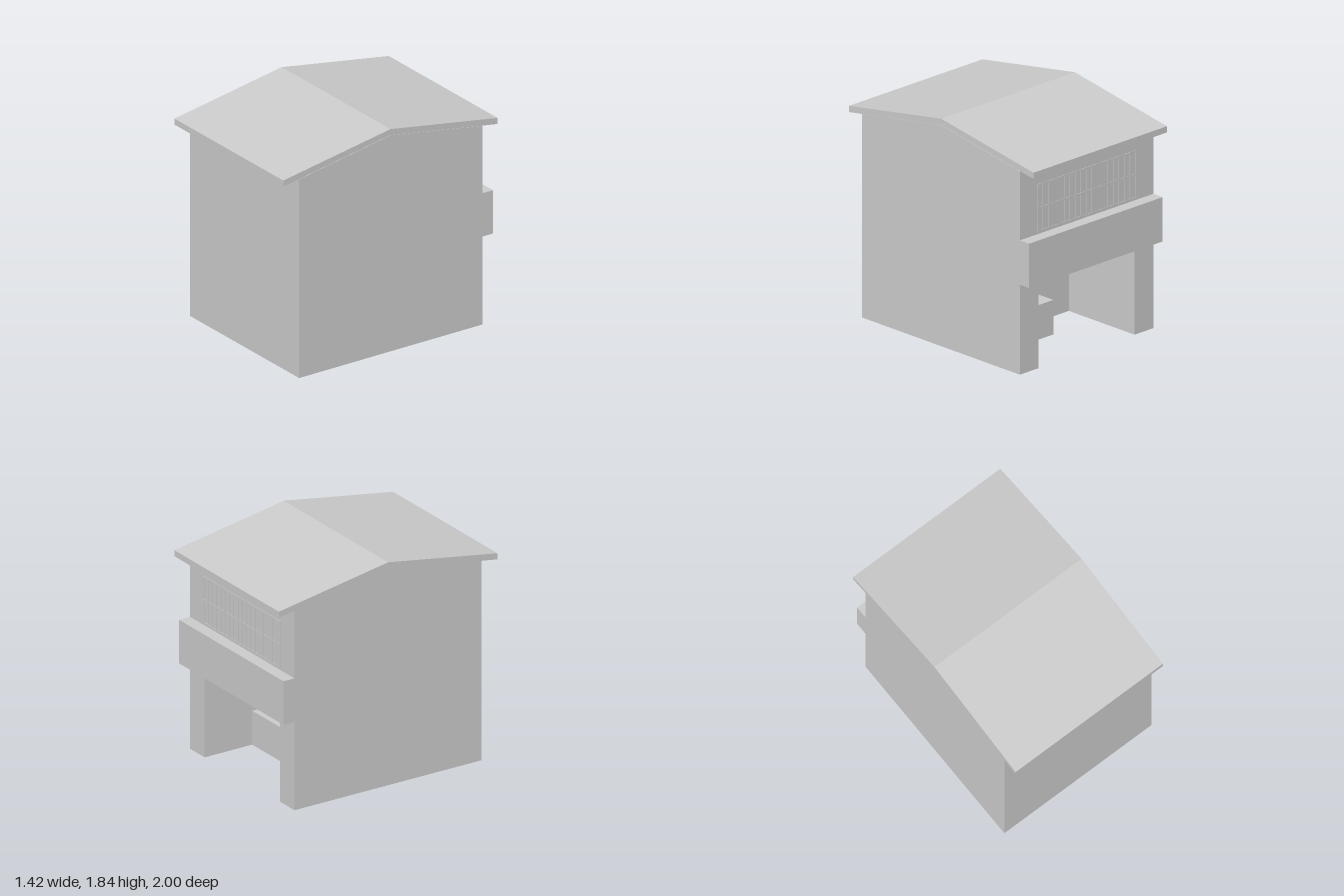
import * as THREE from 'three';

const material = new THREE.MeshStandardMaterial({ color: 0xcccccc, flatShading: true });

export function createModel() {
  const model = new THREE.Group();
  model.name = 'stallHouse';

  const add = (name, geometry) => {
    const mesh = new THREE.Mesh(geometry, material);
    mesh.name = name;
    model.add(mesh);
    return mesh;
  };
  // Box given by its minimum and maximum corners
  const box = (name, [x0, y0, z0], [x1, y1, z1]) => {
    const mesh = add(name, new THREE.BoxGeometry(x1 - x0, y1 - y0, z1 - z0));
    mesh.position.set((x0 + x1) / 2, (y0 + y1) / 2, (z0 + z1) / 2);
    return mesh;
  };
  // Profile of [z, y] points, symmetric in z, extruded along x and centred
  const gable = (name, points, width) => {
    const shape = new THREE.Shape(points.map(([z, y]) => new THREE.Vector2(z, y)));
    const geometry = new THREE.ExtrudeGeometry(shape, { depth: width, bevelEnabled: false });
    geometry.translate(0, 0, -width / 2).rotateY(Math.PI / 2);
    return add(name, geometry);
  };

  const W = 0.709, D = 0.855;   // half width and half depth of the walls
  const inner = 0.51, floorY = 0.73;

  // Ground floor: side walls and front wall around a room open at the back
  box('sideWallLeft', [inner, 0, -D], [W, floorY, D]);
  box('sideWallRight', [-W, 0, -D], [-inner, floorY, D]);
  box('frontWall', [-inner, 0, 0.725], [inner, floorY, D]);
  box('partition', [-inner, 0, -0.143], [inner, floorY, -0.125]);

  // Upper storey with gable ends
  gable('upperStorey', [[-D, floorY], [D, floorY], [D, 1.65], [0, 1.795], [-D, 1.65]], 2 * W);

  // Pitched roof slab overhanging front and back
  const roof = gable('roof', [
    [-1, 1.627], [-D, 1.65], [0, 1.795], [D, 1.65], [1, 1.627],
    [1, 1.677], [0, 1.844], [-1, 1.677],
  ], 1.418);
  roof.position.x = -0.004;

  // Signboard above the opening
  box('signboard', [-W, floorY, -0.955], [W, 1.09, -D]);

  // Counter with a small box on top
  box('counter', [-0.075, 0, -0.42], [inner, 0.28, 0.15]);
  box('counterBox', [0.28, 0.28, -0.275], [0.44, 0.43, -0.143]);

  // Window lattice on the back wall
  const half = 0.52, bar = 0.012, proud = 0.004, low = 1.105, high = 1.495;
  for (let i = 0; i <= 18; i++) {
    const x = -half + (i / 18) * 2 * half;
    box('latticeUpright', [x - bar / 2, low, -D - proud], [x + bar / 2, high, -D]);
  }
  for (let i = 0; i < 3; i++) {
    const y = low + bar / 2 + (i / 2) * (high - low - bar);
    box('latticeRail', [-half, y - bar / 2, -D - proud], [half, y + bar / 2, -D]);
  }
  return model;
}
